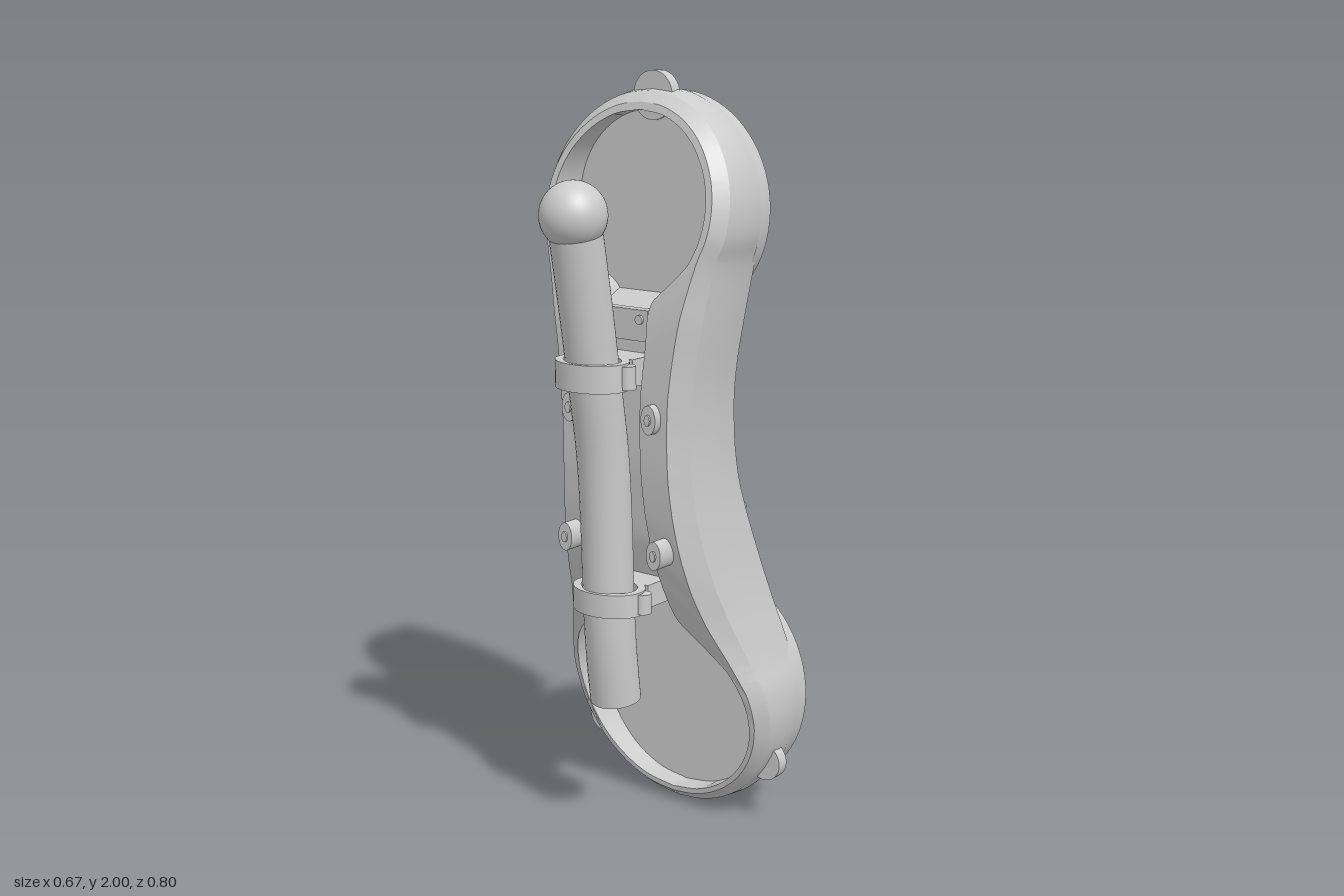
import * as THREE from 'three';
import { toCreasedNormals } from 'three/addons/utils/BufferGeometryUtils.js';

const V = (x, y, z = 0) => new THREE.Vector3(x, y, z);
const LOW = 0.335, HIGH = 1.66; // centres of the two round ends

// piecewise linear lookup of [y, z] pairs
function lookup(table, y) {
  if (y <= table[0][0]) return table[0][1];
  for (let i = 1; i < table.length; i++) {
    const [y0, a] = table[i - 1], [y1, b] = table[i];
    if (y <= y1) return a + (b - a) * (y - y0) / (y1 - y0);
  }
  return table[table.length - 1][1];
}
const FRONT = [[0, -0.09], [0.1, -0.08], [0.2, -0.065], [0.3, -0.045], [0.4, -0.015], [0.5, 0.025], [0.6, 0.07], [0.7, 0.11],
  [0.8, 0.138], [0.9, 0.154], [1, 0.163], [1.2, 0.168], [1.4, 0.16], [1.55, 0.137], [1.7, 0.105], [1.8, 0.083], [1.96, 0.04]];
const BACK = [[0.36, -0.235], [0.45, -0.228], [0.55, -0.21], [0.65, -0.185], [0.75, -0.158], [0.85, -0.128], [0.95, -0.1],
  [1.05, -0.085], [1.2, -0.074], [1.3, -0.074], [1.45, -0.08]];
const FLOOR = [[0.605, -0.15], [0.63, 0.03], [0.8, 0.075], [1, 0.095], [1.2, 0.1], [1.41, 0.1], [1.435, 0]];

// right half of a dumbbell outline, bottom to top
function halfOutline(r1, r2, waist, angle, flare) {
  const pts = [], a = angle * Math.PI / 180, n = 8;
  for (let i = 0; i <= n; i++) {
    const t = -Math.PI / 2 + (a + Math.PI / 2) * i / n;
    pts.push(V(r1 * Math.cos(t), LOW + r1 * Math.sin(t)));
  }
  const yA = LOW + r1 * Math.sin(a), yB = HIGH - r2 * Math.sin(a);
  for (const [t, d] of [[0.14, 0.05], [0.3, 0.02], [0.5, 0], [0.68, 0.003], [0.86, 0.03]])
    pts.push(V(waist + d * flare, yA + (yB - yA) * t));
  for (let i = 0; i <= n; i++) {
    const t = -a + (a + Math.PI / 2) * i / n;
    pts.push(V(r2 * Math.cos(t), HIGH + r2 * Math.sin(t)));
  }
  return new THREE.CatmullRomCurve3(pts, false, 'centripetal').getPoints(126);
}

// closed shell lofted through dumbbell outlines from the back to the recess floor
function bodyGeometry() {
  const blend = f => y => lookup(BACK, y) * (1 - f) + lookup(FRONT, y) * f;
  const layers = [
    [0.321, 0.289, 0.202, 25, 1, blend(0)],
    [0.332, 0.297, 0.213, 25, 1, blend(0.25)],
    [0.335, 0.299, 0.217, 25, 1, blend(0.5)],
    [0.329, 0.291, 0.209, 25, 1, blend(0.8)],
    [0.304, 0.264, 0.172, 25, 1, blend(1)],
    [0.29, 0.245, 0.085, 62, 0.5, blend(1)],
    [0.29, 0.245, 0.085, 62, 0.5, y => lookup(FLOOR, y)],
  ].map(([r1, r2, w, a, fl, z]) => {
    const right = halfOutline(r1, r2, w, a, fl).map(p => V(Math.max(p.x, 0), p.y, z(p.y)));
    const left = right.slice(1, -1).reverse().map(p => V(-p.x, p.y, p.z));
    return [...right, ...left];
  });
  const pos = [];
  const quad = (a, b, c, d) => { for (const p of [a, b, c, a, c, d]) pos.push(p.x, p.y, p.z); };
  const n = layers[0].length, half = n / 2;
  for (let k = 0; k + 1 < layers.length; k++)
    for (let i = 0; i < n; i++) {
      const j = (i + 1) % n;
      quad(layers[k][i], layers[k][j], layers[k + 1][j], layers[k + 1][i]);
    }
  const floor = layers[layers.length - 1], back = layers[0];
  for (let i = 0; i < half; i++) {
    const l0 = (n - i) % n, l1 = n - i - 1;
    quad(floor[l0], floor[i], floor[i + 1], floor[l1]);
    quad(back[i], back[l0], back[l1], back[i + 1]);
  }
  const g = new THREE.BufferGeometry();
  g.setAttribute('position', new THREE.Float32BufferAttribute(pos, 3));
  return toCreasedNormals(g, 0.45);
}

export function createModel() {
  const group = new THREE.Group();
  const grey = new THREE.MeshStandardMaterial({ color: 0xcccccc });
  grey.name = 'light grey';
  const add = (name, geo, x = 0, y = 0, z = 0) => {
    const m = new THREE.Mesh(geo, grey);
    m.name = name;
    m.position.set(x, y, z);
    group.add(m);
    return m;
  };
  const cylZ = (r, depth, seg = 32) => new THREE.CylinderGeometry(r, r, depth, seg).rotateX(Math.PI / 2);

  add('body', bodyGeometry());

  // raised rims with flat recessed covers on the back
  const rim = (name, y, r, inner, zBack, depth) => {
    const profile = [[0, 0.022], [inner, 0.022], [inner, 0.012], [inner + 0.018, 0.012], [inner + 0.018, 0], [r, 0], [r + 0.004, depth]];
    const g = new THREE.LatheGeometry(profile.map(p => new THREE.Vector2(p[0], p[1])), 72).rotateX(Math.PI / 2);
    add(name, toCreasedNormals(g, 0.5), 0, y, zBack);
  };
  rim('lowerBackCover', LOW, 0.321, 0.265, -0.26, 0.07);
  rim('upperBackCover', HIGH, 0.289, 0.235, -0.103, 0.045);

  // curved handle with ball end
  const path = new THREE.CatmullRomCurve3([V(0, 0.38, 0.163), V(0, 0.52, 0.18), V(0, 0.67, 0.19), V(0, 0.85, 0.196),
    V(0, 1.05, 0.21), V(0, 1.27, 0.245), V(0, 1.45, 0.275), V(0, 1.65, 0.312)]);
  add('handle', new THREE.TubeGeometry(path, 48, 0.067, 32));
  const cap = add('handleEnd', new THREE.CircleGeometry(0.067, 32), 0, 0.38, 0.163);
  cap.lookAt(path.getTangent(0).negate().add(cap.position));
  add('handleBall', new THREE.SphereGeometry(0.085, 40, 28), 0, 1.665, 0.315);

  // clamps holding the handle
  for (const [name, y, z, h] of [['upper', 1.265, 0.248, 0.07], ['lower', 0.665, 0.187, 0.062]]) {
    const ring = new THREE.Shape().absellipse(0, 0, 0.102, 0.08, 0, Math.PI * 2);
    ring.holes.push(new THREE.Path().absellipse(0, 0, 0.08, 0.062, 0, Math.PI * 2));
    const g = new THREE.ExtrudeGeometry(ring, { depth: h, bevelEnabled: false, curveSegments: 24 });
    g.rotateX(Math.PI / 2).translate(0, h / 2, 0);
    add(name + 'Clamp', toCreasedNormals(g, 0.6), 0, y, z);
    add(name + 'ClampFoot', new THREE.BoxGeometry(0.16, h, 0.1), 0, y, z - 0.11);
    add(name + 'ClampCatch', new THREE.CylinderGeometry(0.022, 0.022, h * 0.85, 20), 0.1, y, z - 0.015);
  }

  // small plate above the handle channel
  add('channelPlate', new THREE.BoxGeometry(0.16, 0.08, 0.03), 0, 1.375, 0.112);
  for (const s of [-1, 1]) add('plateRivet', cylZ(0.012, 0.006, 16), s * 0.055, 1.39, 0.13);

  // front buttons and lower side lugs, mirrored
  for (const s of [-1, 1]) {
    for (const [x, y] of [[0.13, 1.152], [0.147, 0.802]]) {
      add('button', cylZ(0.023, 0.06), s * x, y, 0.16).scale.y = 1.65;
      add('buttonCentre', cylZ(0.009, 0.008, 16), s * x, y, 0.191).scale.y = 1.6;
    }
    const lug = new THREE.CylinderGeometry(0.052, 0.052, 0.034, 32, 1, false, s * Math.PI / 3 - Math.PI / 2, Math.PI);
    add('sideLug', lug.rotateX(Math.PI / 2), s * 0.277, 0.175, -0.142);
  }
  add('topLug', cylZ(0.062, 0.033), 0, 1.938, -0.012);

  // back cradles: a curved fork opening upward, with a peg beneath
  const cradle = (name, x, y, w, h, z0, z1, peg) => {
    const s = new THREE.Shape();
    s.moveTo(-w, h);
    s.quadraticCurveTo(-w * 0.75, -h * 0.1, -w * 0.25, -h);
    s.lineTo(w * 0.25, -h);
    s.quadraticCurveTo(w * 0.75, -h * 0.1, w, h);
    s.lineTo(w * 0.68, h);
    s.quadraticCurveTo(w * 0.45, -h * 0.35, 0, -h * 0.4);
    s.quadraticCurveTo(-w * 0.45, -h * 0.35, -w * 0.68, h);
    const g = new THREE.ExtrudeGeometry(s, { depth: z1 - z0, bevelEnabled: false, curveSegments: 14, steps: 10 });
    // taper the fork and round its free tips
    const p = g.attributes.position;
    for (let i = 0; i < p.count; i++) {
      const t = 1 - p.getZ(i) / (z1 - z0), up = (p.getY(i) + h) / (2 * h);
      p.setX(i, p.getX(i) * (1 - up * (0.1 * t + 0.12 * t ** 6)));
      p.setY(i, p.getY(i) - up * h * (0.3 * t + 0.4 * t ** 6));
    }
    add(name + 'Cradle', toCreasedNormals(g, 0.5), x, y, z0);
    const [px, py, end] = peg;
    add(name + 'Peg', cylZ(0.037, -0.05 - end), px, py, (end - 0.05) / 2);
  };
  cradle('upper', 0.02, 1.27, 0.12, 0.055, -0.195, -0.05, [-0.05, 1.238, -0.235]);
  cradle('lower', -0.062, 0.775, 0.125, 0.085, -0.375, -0.1, [-0.07, 0.75, -0.4]);

  return group;
}
